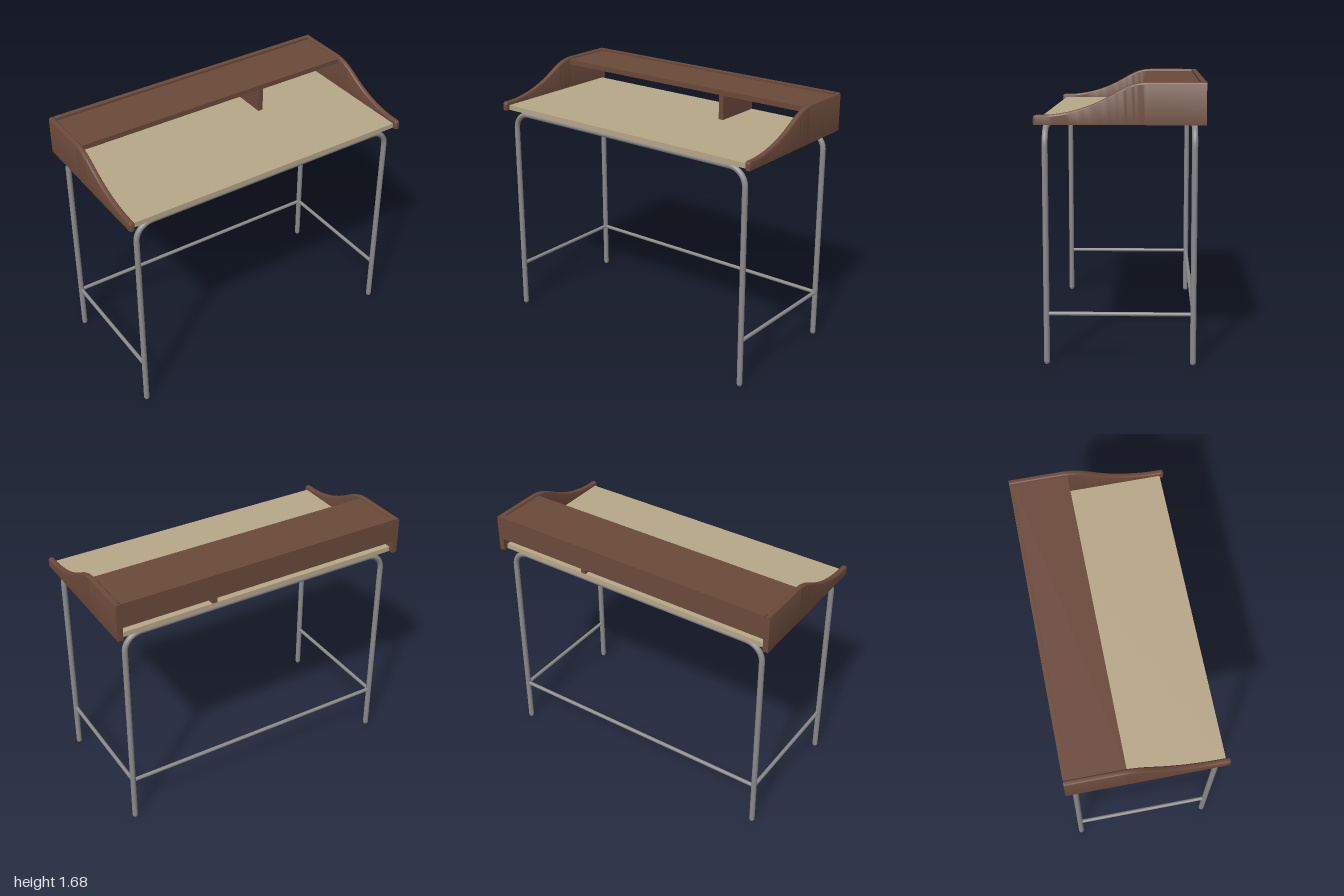
import * as THREE from 'three';
import { toCreasedNormals } from 'three/addons/utils/BufferGeometryUtils.js';

const wood = new THREE.MeshStandardMaterial({ color: 0x6b4a3a });
wood.name = 'walnut brown';
const top = new THREE.MeshStandardMaterial({ color: 0xb8a888 });
top.name = 'desktop beige';
const metal = new THREE.MeshStandardMaterial({ color: 0x8a8a8a });
metal.name = 'steel grey';

const BASE = 1.44, LEG_X = 0.933, LEG_Z = 0.437, TUBE = 0.018;

function add(group, name, geometry, material, x = 0, y = 0, z = 0) {
  const mesh = new THREE.Mesh(geometry, material);
  mesh.name = name;
  mesh.position.set(x, y, z);
  group.add(mesh);
  return mesh;
}

// box given by its min and max corners
function block(group, name, material, x0, x1, y0, y1, z0, z1) {
  add(group, name, new THREE.BoxGeometry(x1 - x0, y1 - y0, z1 - z0), material,
    (x0 + x1) / 2, (y0 + y1) / 2, (z0 + z1) / 2);
}

// swept side panel: rounded top edge following an S-curve, flat sides and bottom
function sidePanelGeometry() {
  const path = new THREE.Path();   // coordinates are (z, y)
  path.moveTo(-0.5, 1.685);
  path.lineTo(-0.17, 1.685);
  path.bezierCurveTo(-0.08, 1.685, -0.03, 1.655, 0.04, 1.615);
  path.bezierCurveTo(0.16, 1.545, 0.28, 1.507, 0.42, 1.497);
  path.lineTo(0.475, 1.497);
  path.quadraticCurveTo(0.498, 1.497, 0.498, 1.475);
  path.lineTo(0.498, BASE);
  const stations = [];
  for (const c of path.curves) {
    const n = c.isLineCurve ? 1 : 12;
    for (let i = stations.length ? 1 : 0; i <= n; i++) {
      stations.push([c.getPoint(i / n), c.getTangent(i / n)]);
    }
  }
  const half = 0.0175, r = 0.014, steps = 5;
  const positions = [], index = [];
  for (const [p, t] of stations) {
    const nz = -t.y, ny = t.x;    // outward normal of the curve
    const push = (x, depth) => positions.push(x, p.y - ny * depth, p.x - nz * depth);
    positions.push(-half, BASE, p.x - nz * r);
    for (const s of [-1, 1]) {
      for (let i = 0; i <= steps; i++) {
        const a = (s < 0 ? i : steps - i) / steps * Math.PI / 2;
        push(s * (half - r + r * Math.cos(a)), r * (1 - Math.sin(a)));
      }
    }
    positions.push(half, BASE, p.x - nz * r);
  }
  const m = 2 * (steps + 1) + 2, last = (stations.length - 1) * m;
  for (let s = 0; s < stations.length - 1; s++) {
    for (let i = 0; i < m; i++) {
      const a = s * m + i, b = s * m + (i + 1) % m;
      index.push(a, a + m, b, b, a + m, b + m);
    }
  }
  for (let i = 1; i < m - 1; i++) {
    index.push(0, i, i + 1, last, last + i + 1, last + i);
  }
  const g = new THREE.BufferGeometry();
  g.setAttribute('position', new THREE.Float32BufferAttribute(positions, 3));
  g.setIndex(index);
  return toCreasedNormals(g, 0.6);
}

// one bent tube: leg, rounded corner, top bar, rounded corner, leg
function legFrameGeometry() {
  const y = BASE - TUBE - 0.002, r = 0.11, k = r * 0.4477;
  const v = (x, h) => new THREE.Vector3(x, h, 0);
  const curves = [
    new THREE.LineCurve3(v(-LEG_X, 0.012), v(-LEG_X, y - r)),
    new THREE.CubicBezierCurve3(v(-LEG_X, y - r), v(-LEG_X, y - k), v(-LEG_X + k, y), v(-LEG_X + r, y)),
    new THREE.LineCurve3(v(-LEG_X + r, y), v(LEG_X - r, y)),
    new THREE.CubicBezierCurve3(v(LEG_X - r, y), v(LEG_X - k, y), v(LEG_X, y - k), v(LEG_X, y - r)),
    new THREE.LineCurve3(v(LEG_X, y - r), v(LEG_X, 0.012)),
  ];
  const path = new THREE.CurvePath();
  curves.forEach((c) => path.add(c));
  return new THREE.TubeGeometry(path, 200, TUBE, 20, false);
}

export function createModel() {
  const desk = new THREE.Group();
  desk.name = 'writingDesk';

  // worktop, back board, shelf and divider
  block(desk, 'desktop', top, -0.966, 0.966, BASE, 1.472, -0.47, 0.47);
  block(desk, 'backBoard', wood, -0.966, 0.966, 1.525, 1.685, -0.5, -0.468);
  block(desk, 'shelf', wood, -0.966, 0.966, 1.636, 1.67, -0.47, -0.13);
  block(desk, 'shelfDivider', wood, 0.326, 0.36, 1.472, 1.637, -0.47, -0.14);

  // curved side panels
  const panel = sidePanelGeometry();
  add(desk, 'leftSidePanel', panel, wood, 0.9825);
  add(desk, 'rightSidePanel', panel, wood, -0.9825);

  // front and back tube frames with feet
  const frame = legFrameGeometry();
  const foot = new THREE.CylinderGeometry(TUBE, 0.013, 0.012, 20);
  for (const [side, z] of [['front', LEG_Z], ['back', -LEG_Z]]) {
    add(desk, side + 'LegFrame', frame, metal, 0, 0, z);
    for (const x of [-LEG_X, LEG_X]) add(desk, side + 'Foot', foot, metal, x, 0.006, z);
  }

  // lower stretchers: one at each side and one along the back
  const sideBar = new THREE.CylinderGeometry(0.0125, 0.0125, 2 * LEG_Z, 16);
  for (const x of [-LEG_X, LEG_X]) {
    add(desk, 'sideStretcher', sideBar, metal, x, 0.308, 0).rotation.x = Math.PI / 2;
  }
  const backBar = new THREE.CylinderGeometry(0.0125, 0.0125, 2 * LEG_X, 16);
  add(desk, 'backStretcher', backBar, metal, 0, 0.308, -LEG_Z).rotation.z = Math.PI / 2;

  return desk;
}
